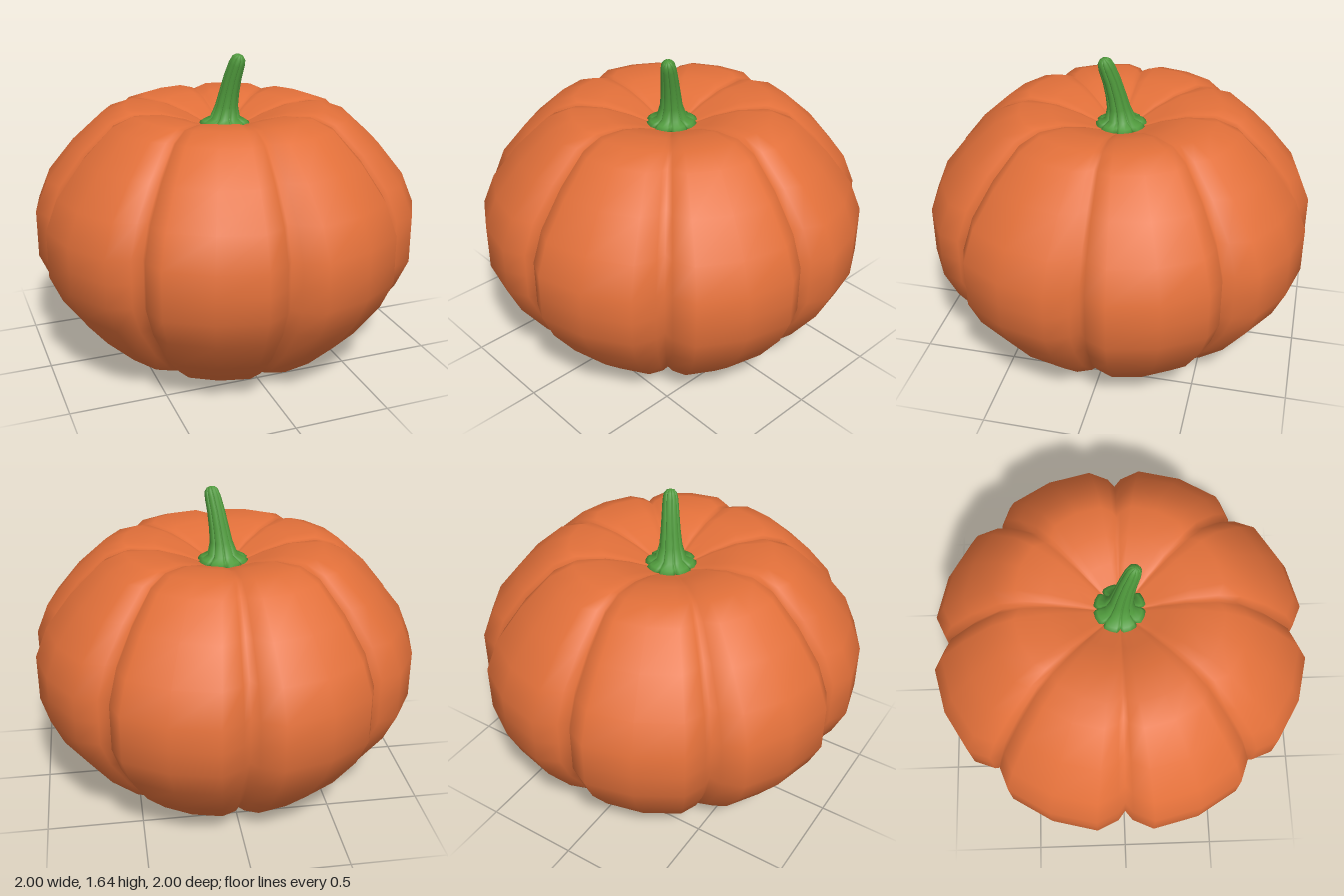
import * as THREE from 'three';

// One lobe: angle within the lobe (degrees) and radius factor, starting in the groove
const LOBE = [[0, 0.9], [2.3, 0.95], [8.5, 1.011], [22.5, 1.018], [36.5, 1.011], [42.7, 0.95]];
const SIDES = LOBE.length * 8;

// Skin closed rings of points, listed bottom to top, closing both ends at a pole
function loft(rings, bottom, top) {
  const pos = [], index = [];
  for (const ring of rings) for (const p of ring) pos.push(p.x, p.y, p.z);
  const n = rings[0].length, last = (rings.length - 1) * n, b = rings.length * n;
  pos.push(...bottom.toArray(), ...top.toArray());
  for (let i = 0; i < n; i++) {
    const j = (i + 1) % n;
    for (let r = 0; r < last; r += n) {
      index.push(r + i, r + n + i, r + j, r + j, r + n + i, r + n + j);
    }
    index.push(b, i, j, b + 1, last + j, last + i);
  }
  const geo = new THREE.BufferGeometry();
  geo.setAttribute('position', new THREE.Float32BufferAttribute(pos, 3));
  geo.setIndex(index);
  geo.computeVertexNormals();
  return geo;
}

// Calls back with angle (radians), radius factor and groove amount (0..1) around the lobes
function around(fn) {
  return Array.from({ length: SIDES }, (_, i) => {
    const [deg, f] = LOBE[i % LOBE.length];
    const a = THREE.MathUtils.degToRad(Math.floor(i / LOBE.length) * 45 + deg);
    return fn(a, f, (1.018 - f) / 0.118);
  });
}

function makeBody() {
  // radius, height, how far the groove sinks below the lobe
  const profile = [
    [0.17, 0.004, 0], [0.34, 0.008, 0], [0.51, 0.02, 0], [0.64, 0.09, 0], [0.8, 0.25, 0],
    [0.935, 0.44, 0], [1, 0.59, 0], [1, 0.715, 0], [1, 0.84, 0], [0.935, 1, 0],
    [0.8, 1.17, 0], [0.64, 1.32, 0.01], [0.52, 1.365, 0.02], [0.36, 1.358, 0.03],
    [0.23, 1.318, 0.025], [0.12, 1.265, 0.01],
  ];
  const rings = profile.map(([r, y, sink]) => around((a, f, g) =>
    new THREE.Vector3(Math.cos(a) * r * f, y - sink * g, Math.sin(a) * r * f)));
  return loft(rings, new THREE.Vector3(0, 0, 0), new THREE.Vector3(0, 1.24, 0));
}

function makeStem() {
  // centre x, y, z, radius, tilt of the ring towards the lean
  const sections = [
    [0, 1.25, 0, 0.12, 0], [0, 1.268, 0, 0.136, 0], [0, 1.282, 0, 0.115, 0],
    [0.002, 1.3, 0.003, 0.08, 0], [0.008, 1.365, 0.012, 0.06, 0.08],
    [0.018, 1.44, 0.025, 0.052, 0.15], [0.03, 1.52, 0.043, 0.046, 0.25],
    [0.044, 1.59, 0.064, 0.041, 0.35], [0.051, 1.622, 0.074, 0.034, 0.4],
    [0.054, 1.637, 0.079, 0.02, 0.4],
  ];
  const rings = sections.map(([x, y, z, r, tilt]) => around((a, f) => {
    const rr = r * (1 - (1.018 - f) * 1.6);
    const dx = Math.cos(a) * rr, dz = Math.sin(a) * rr;
    return new THREE.Vector3(x + dx, y - tilt * (dx * 0.6 + dz * 0.8), z + dz);
  }));
  return loft(rings, new THREE.Vector3(0, 1.24, 0), new THREE.Vector3(0.055, 1.642, 0.08));
}

export function createModel() {
  const group = new THREE.Group();
  group.name = 'pumpkin';
  const add = (name, geo, color) => {
    const mesh = new THREE.Mesh(geo, new THREE.MeshStandardMaterial({ color }));
    mesh.name = name;
    group.add(mesh);
  };
  add('body', makeBody(), 0xe2703a);
  add('stem', makeStem(), 0x4f9a3c);
  return group;
}
